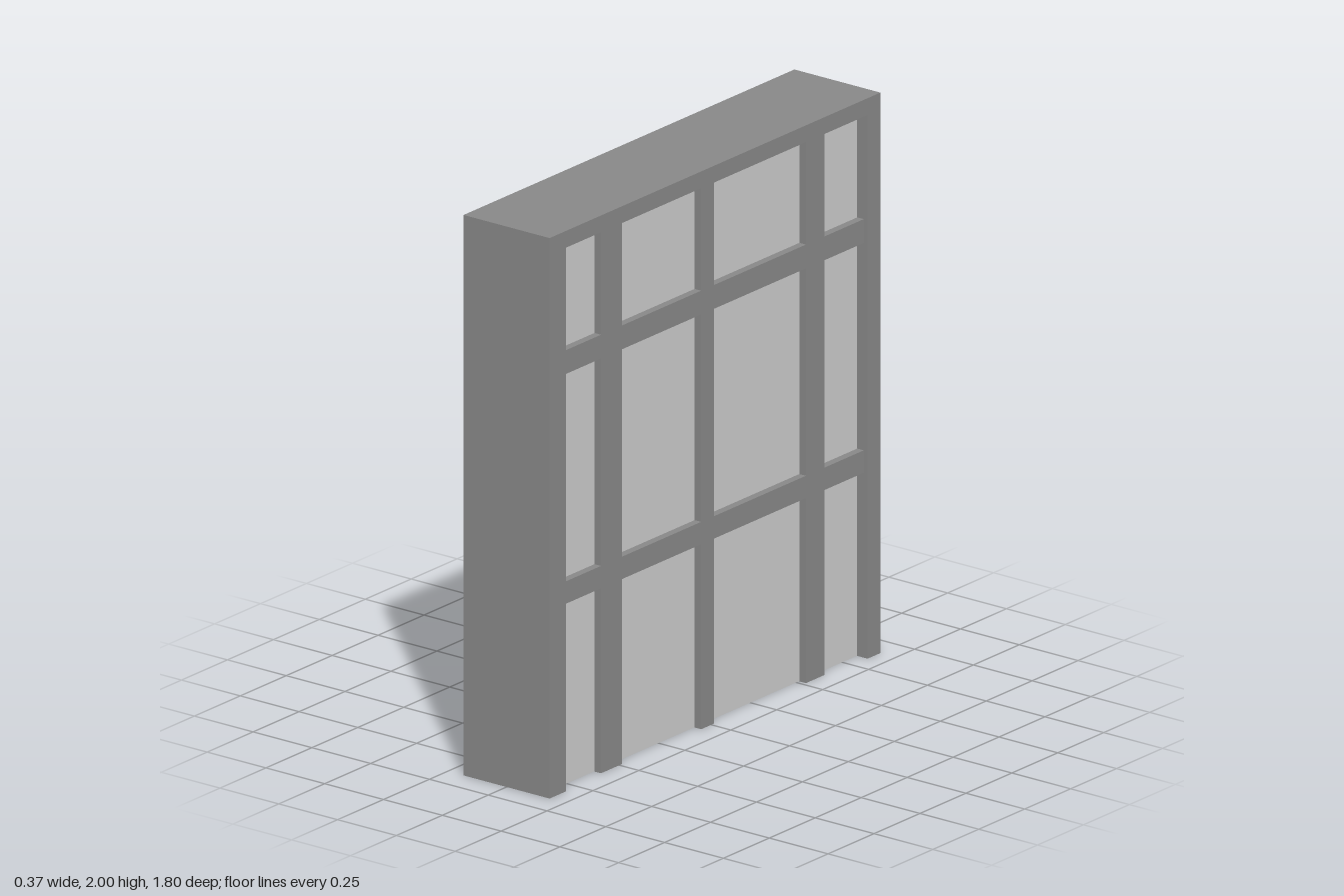
import * as THREE from 'three';

const HALF_X = 0.183;   // half thickness of the whole wall block
const HALF_Z = 0.9;
const HEIGHT = 2;
const INNER = 0.127;    // inner face of the bars
const GRID = 0.167;     // outer face of the grid bars
const PANEL = 0.139;    // outer face of the panels
const SKIN = 0.008;

export function createModel() {
  const model = new THREE.Group();
  const frameMat = new THREE.MeshStandardMaterial({ color: 0x888888 });
  const panelMat = new THREE.MeshStandardMaterial({ color: 0xcccccc });

  // Box given by its limits on each axis
  const block = (parent, name, [x0, x1], [y0, y1], [z0, z1], mat = frameMat) => {
    const geo = new THREE.BoxGeometry(Math.abs(x1 - x0), y1 - y0, z1 - z0);
    const mesh = new THREE.Mesh(geo, mat);
    mesh.position.set((x0 + x1) / 2, (y0 + y1) / 2, (z0 + z1) / 2);
    mesh.name = name;
    parent.add(mesh);
  };

  // Closed top and ends; the underside stays open
  const fullX = [-HALF_X, HALF_X];
  block(model, 'topBoard', fullX, [HEIGHT - SKIN, HEIGHT], [-HALF_Z, HALF_Z]);
  block(model, 'frontEndBoard', fullX, [0, HEIGHT - SKIN], [HALF_Z - SKIN, HALF_Z]);
  block(model, 'backEndBoard', fullX, [0, HEIGHT - SKIN], [-HALF_Z, -HALF_Z + SKIN]);

  // Framed and gridded face, mirrored onto both long sides
  for (const side of [1, -1]) {
    const face = new THREE.Group();
    face.name = side > 0 ? 'leftFace' : 'rightFace';
    model.add(face);
    const span = (a, b) => [side * a, side * b];

    // Outer frame
    const rim = span(INNER, HALF_X);
    block(face, 'topRail', rim, [1.94, HEIGHT - SKIN], [-HALF_Z + SKIN, HALF_Z - SKIN]);
    block(face, 'frontPost', rim, [0, 1.94], [0.81, HALF_Z - SKIN]);
    block(face, 'backPost', rim, [0, 1.94], [-HALF_Z + SKIN, -0.83]);

    // Upright bars, set slightly back from the frame
    const uprights = [[-0.615, -0.515], [-0.015, 0.055], [0.487, 0.6]];
    for (const z of uprights) block(face, 'upright', span(INNER, GRID), [0, 1.94], z);

    // Crossbars fill the gaps between uprights
    const stops = [-0.83, ...uprights.flat(), 0.81];
    for (const y of [[0.66, 0.74], [1.48, 1.565]]) {
      for (let i = 0; i < stops.length; i += 2) {
        block(face, 'crossbar', span(INNER, GRID), y, [stops[i], stops[i + 1]]);
      }
    }

    // Thin recessed panel behind the grid
    block(face, 'panel', span(PANEL - SKIN / 2, PANEL), [0.001, 1.94], [-0.83, 0.81], panelMat);
  }
  return model;
}
